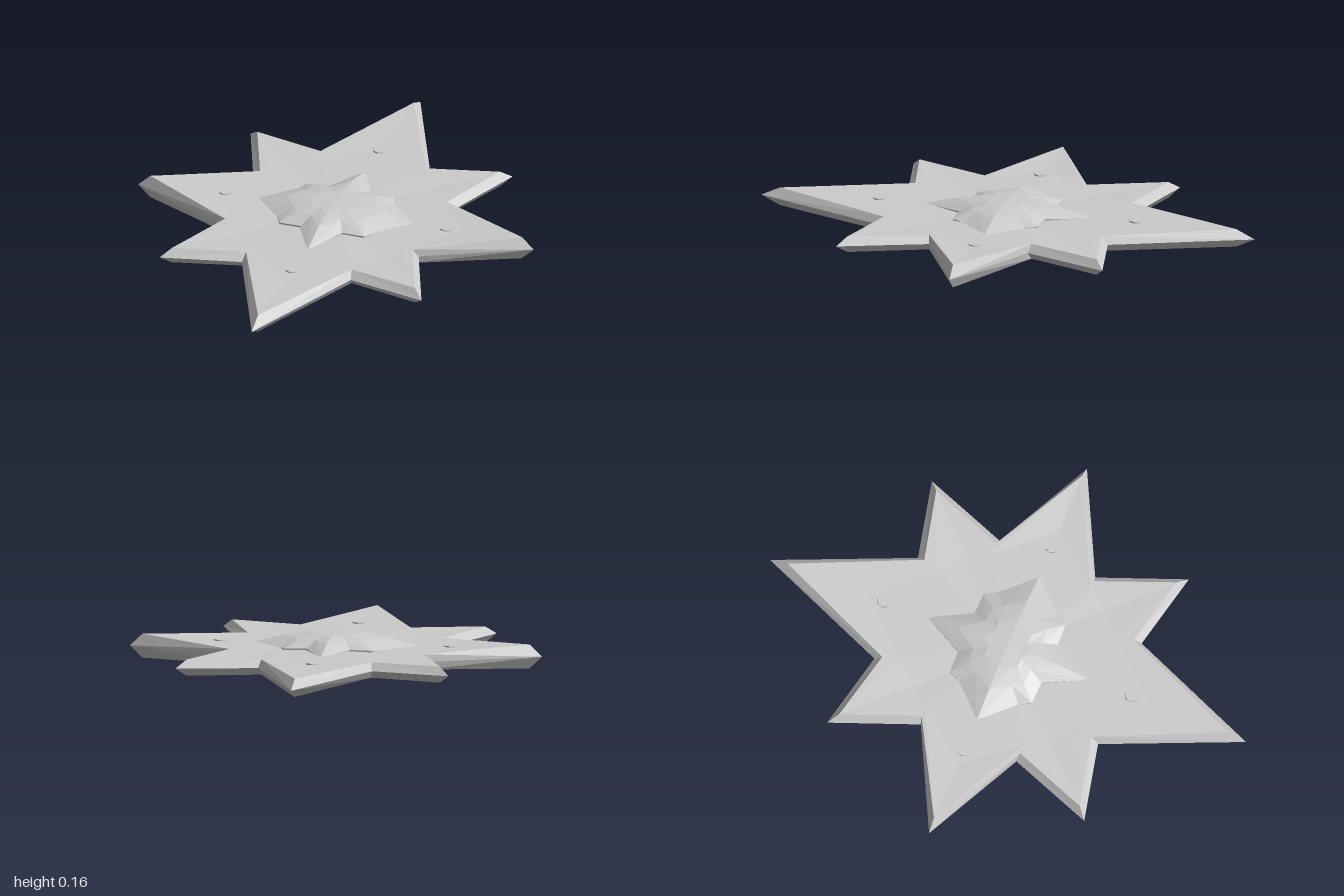
import * as THREE from 'three';

const MID = 0.078;
const material = new THREE.MeshStandardMaterial({ color: 0xcccccc, flatShading: true });

// Mirrors five [x, height, z] points (x tip round to z tip) into a 16-point ring
function ring(q) {
  const half = [...q, ...q.slice(0, 4).reverse().map(([x, y, z]) => [-x, y, z])];
  return [...half, ...half.slice(1, 8).reverse().map(([x, y, z]) => [x, y, -z])];
}

// Faceted shell: rings run from the rim to the centre, mirrored above and below
function starShell(name, quarters, peak) {
  const rings = quarters.map(ring);
  const pos = [];
  const tri = (a, b, c) => {
    for (const p of [a, b, c]) pos.push(p[0], p[1], p[2]);
    for (const p of [a, c, b]) pos.push(p[0], -p[1], p[2]);
  };
  rings.forEach((outer, r) => {
    const inner = rings[r + 1];
    for (let i = 0; i < 16; i++) {
      const j = (i + 1) % 16;
      if (!inner) { tri([0, peak, 0], outer[j], outer[i]); continue; }
      // Split each quad from its tip side so both halves of a point match
      if (i % 2 === 0) {
        tri(outer[i], inner[i], inner[j]);
        tri(outer[i], inner[j], outer[j]);
      } else {
        tri(outer[i], inner[i], outer[j]);
        tri(inner[i], inner[j], outer[j]);
      }
    }
  });
  const geo = new THREE.BufferGeometry();
  geo.setAttribute('position', new THREE.Float32BufferAttribute(pos, 3));
  geo.computeVertexNormals();
  const mesh = new THREE.Mesh(geo, material);
  mesh.name = name;
  mesh.position.y = MID;
  return mesh;
}

export function createModel() {
  const group = new THREE.Group();
  group.name = 'starOrnament';

  // Eight-pointed plate: ridge edge, bevelled rim, gently folded face
  group.add(starShell('starPlate', [
    [[0.815, 0, 0], [0.41, 0, 0.2], [0.54, 0, 0.54], [0.225, 0, 0.47], [0, 0, 1]],
    [[0.765, 0.047, 0], [0.385, 0.03, 0.207], [0.5, 0.032, 0.505], [0.217, 0.03, 0.44], [0, 0.036, 0.925]],
    [[0.52, 0.031, 0], [0.34, 0.029, 0.21], [0.29, 0.025, 0.29], [0.2, 0.029, 0.38], [0, 0.03, 0.6]],
  ], 0.027));

  // Domed faceted star set through the centre of the plate
  group.add(starShell('centreGem', [
    [[0.33, 0, 0], [0.2, 0, 0.125], [0.175, 0, 0.172], [0.085, 0, 0.175], [0, 0, 0.345]],
    [[0.33, 0.026, 0], [0.2, 0.028, 0.125], [0.175, 0.032, 0.172], [0.085, 0.034, 0.175], [0, 0.026, 0.345]],
    [[0.2, 0.062, 0], [0.145, 0.06, 0.075], [0.12, 0.058, 0.115], [0.06, 0.061, 0.12], [0, 0.06, 0.21]],
    [[0.1, 0.075, 0], [0.085, 0.073, 0.045], [0.07, 0.072, 0.07], [0.035, 0.073, 0.07], [0, 0.074, 0.1]],
  ], 0.078));

  // Small studs on the four main points
  const studGeo = new THREE.CylinderGeometry(0.027, 0.03, 0.02, 8);
  for (const [x, z] of [[0.455, 0], [-0.455, 0], [0, 0.52], [0, -0.52]]) {
    const stud = new THREE.Mesh(studGeo, material);
    stud.name = 'stud';
    stud.position.set(x, MID + 0.025, z);
    group.add(stud);
  }
  return group;
}
